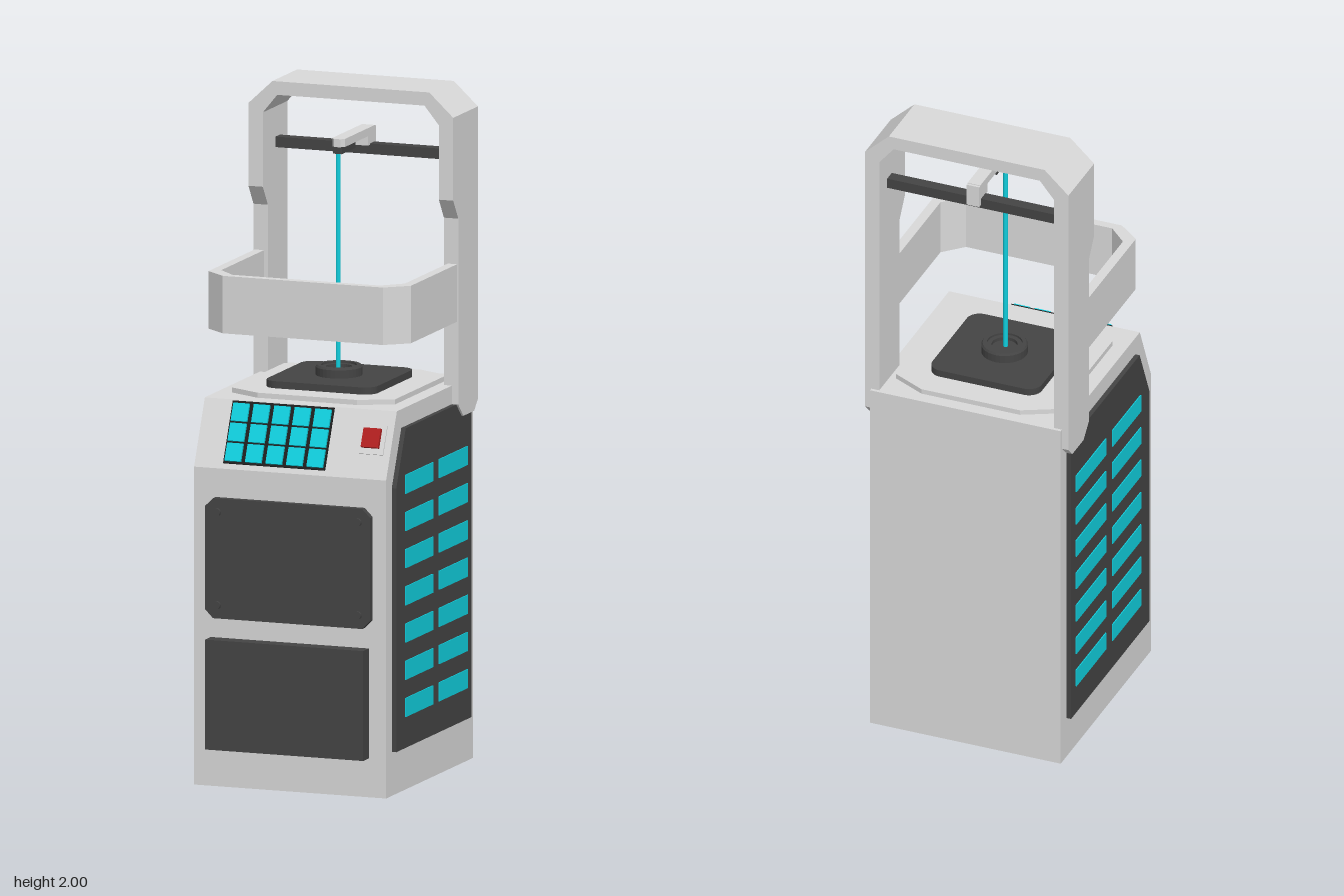
import * as THREE from 'three';

export function createModel() {
  const model = new THREE.Group();
  const mat = (name, color) => Object.assign(new THREE.MeshStandardMaterial({ color }), { name });
  const light = mat('light grey', 0xd9d9d9);
  const dark = mat('charcoal', 0x444444);
  const black = mat('black', 0x1e1e1e);
  const cyan = mat('cyan', 0x10cfde);
  const red = mat('red', 0xb32020);

  const add = (name, geo, material, parent = model) => {
    const mesh = new THREE.Mesh(geo, material);
    mesh.name = name;
    parent.add(mesh);
    return mesh;
  };
  // Box given by its minimum and maximum on each axis
  const box = (name, [x0, x1], [y0, y1], [z0, z1], material, parent) =>
    add(name, new THREE.BoxGeometry(x1 - x0, y1 - y0, z1 - z0)
      .translate((x0 + x1) / 2, (y0 + y1) / 2, (z0 + z1) / 2), material, parent);
  const polygon = (pts) => new THREE.Shape(pts.map(([a, b]) => new THREE.Vector2(a, b)));
  const extrude = (shape, depth) =>
    new THREE.ExtrudeGeometry(shape, { depth, bevelEnabled: false, curveSegments: 8 });
  // Side profile in (z, y), spanning x0..x1
  const sideways = (pts, x0, x1) =>
    extrude(polygon(pts), x1 - x0).rotateY(-Math.PI / 2).translate(x1, 0, 0);
  // Plan shape in (x, z), spanning y0..y1
  const upright = (shape, y0, y1) =>
    extrude(shape, y1 - y0).rotateX(Math.PI / 2).translate(0, y1, 0);

  // Cabinet with a sloping control face
  add('cabinet', sideways(
    [[0.32, 0], [0.32, 0.94], [0.235, 1.13], [-0.365, 1.13], [-0.365, 0]], -0.3, 0.3), light);

  // Side panels with two columns of vents
  for (const s of [-1, 1]) {
    const inner = s * 0.295, outer = s * 0.314;
    add('sidePanel', sideways(
      [[0.275, 0.13], [0.275, 0.91], [0.2, 1.075], [-0.32, 1.075], [-0.32, 0.13]],
      Math.min(inner, outer), Math.max(inner, outer)), dark);
    for (let row = 0; row < 7; row++) {
      const y = 0.25 + row * 0.11;
      for (const z of [[-0.01, 0.205], [-0.285, -0.06]]) {
        box('sideVent', s > 0 ? [0.312, 0.317] : [-0.317, -0.312],
          [y - 0.028, y + 0.028], z, cyan);
      }
    }
  }

  // Front cover with chamfered corners and four bolts
  const [cx, c0, c1, cc] = [0.258, 0.5, 0.855, 0.025];
  add('frontCover', extrude(polygon([
    [-cx + cc, c0], [cx - cc, c0], [cx, c0 + cc], [cx, c1 - cc],
    [cx - cc, c1], [-cx + cc, c1], [-cx, c1 - cc], [-cx, c0 + cc],
  ]), 0.03).translate(0, 0, 0.31), dark);
  for (const x of [-0.22, 0.22]) {
    for (const y of [0.54, 0.815]) {
      add('coverBolt', new THREE.CylinderGeometry(0.012, 0.012, 0.02, 12)
        .rotateX(Math.PI / 2).translate(x, y, 0.338), dark);
    }
  }
  box('lowerFrontBox', [-0.248, 0.246], [0.115, 0.44], [0.31, 0.365], dark);

  // Keypad and stop button on the sloping face
  const controls = new THREE.Group();
  controls.name = 'controls';
  controls.position.set(0, 1.035, 0.2775);
  controls.rotation.x = -Math.atan2(0.085, 0.19);
  model.add(controls);
  box('keypadBase', [-0.21, 0.107], [-0.088, 0.1], [-0.005, 0.006], black, controls);
  for (let col = 0; col < 5; col++) {
    for (let row = 0; row < 3; row++) {
      const x = -0.179 + col * 0.064, y = -0.055 + row * 0.06;
      box('key', [x - 0.025, x + 0.025], [y - 0.027, y + 0.027], [0, 0.014], cyan, controls);
    }
  }
  box('buttonSurround', [0.197, 0.279], [-0.03, 0.058], [-0.005, 0.004], light, controls);
  box('stopButton', [0.211, 0.265], [-0.012, 0.046], [0, 0.016], red, controls);

  // Stepped work surface on top of the cabinet
  add('topPlate', upright(polygon([
    [-0.255, -0.275], [-0.155, -0.325], [0.155, -0.325], [0.255, -0.275],
    [0.255, 0.135], [0.155, 0.185], [-0.155, 0.185], [-0.255, 0.135],
  ]), 1.12, 1.145), light);
  const rounded = new THREE.Shape();
  const [w, f, b, r] = [0.172, 0.102, -0.24, 0.04];
  rounded.absarc(w - r, f - r, r, 0, Math.PI / 2);
  rounded.absarc(-w + r, f - r, r, Math.PI / 2, Math.PI);
  rounded.absarc(-w + r, b + r, r, Math.PI, Math.PI * 1.5);
  rounded.absarc(w - r, b + r, r, Math.PI * 1.5, Math.PI * 2);
  add('turntableBase', upright(rounded, 1.14, 1.166), dark);
  const hub = [[0.068, 1.16], [0.068, 1.19], [0.064, 1.196], [0.052, 1.196],
    [0.052, 1.19], [0.038, 1.19], [0.038, 1.18], [0, 1.18]];
  const hubGeo = new THREE.LatheGeometry(hub.map(([x, y]) => new THREE.Vector2(x, y)), 32);
  add('turntableHub', hubGeo.toNonIndexed().translate(0, 0, -0.067), dark)
    .geometry.computeVertexNormals();

  // Arch: two stepped posts and a chamfered top beam
  for (const x of [-0.32, 0.275]) {
    add('archPost', sideways([
      [-0.16, 1.93], [-0.16, 1.685], [-0.2, 1.625], [-0.2, 1.075], [-0.24, 1.035],
      [-0.325, 1.035], [-0.355, 1.065], [-0.355, 1.93],
    ], x, x + 0.045), light);
  }
  add('archBeam', extrude(polygon([
    [-0.32, 1.93], [-0.245, 2], [0.245, 2], [0.32, 1.93], [0.275, 1.93], [0.275, 1.905],
    [0.23, 1.96], [-0.23, 1.96], [-0.275, 1.905], [-0.275, 1.93],
  ]), 0.195).translate(0, 0, -0.355), light);

  // Guard rail around the work surface
  add('guardRail', upright(polygon([
    [-0.316, -0.22], [-0.316, 0.165], [-0.25, 0.22], [0.25, 0.22], [0.316, 0.165], [0.316, -0.22],
    [0.287, -0.22], [0.287, 0.138], [0.23, 0.194], [-0.23, 0.194], [-0.287, 0.138], [-0.287, -0.22],
  ]), 1.32, 1.49), light);

  // Cross bar, carriage, arm and vertical wire
  box('crossBar', [-0.28, 0.28], [1.785, 1.816], [-0.295, -0.26], dark);
  box('carriage', [-0.02, 0.02], [1.812, 1.862], [-0.305, -0.245], light);
  box('carriageBack', [-0.02, 0.02], [1.795, 1.862], [-0.308, -0.294], light);
  add('arm', upright(polygon([
    [-0.02, -0.3], [0.02, -0.3], [0.02, -0.064], [0.01, -0.052], [-0.01, -0.052], [-0.02, -0.064],
  ]), 1.84, 1.864), light);
  box('armUnderside', [-0.014, 0.014], [1.82, 1.841], [-0.16, -0.053], dark);
  add('wire', new THREE.CylinderGeometry(0.007, 0.007, 0.65, 12)
    .translate(0, 1.505, -0.06), cyan);

  return model;
}
